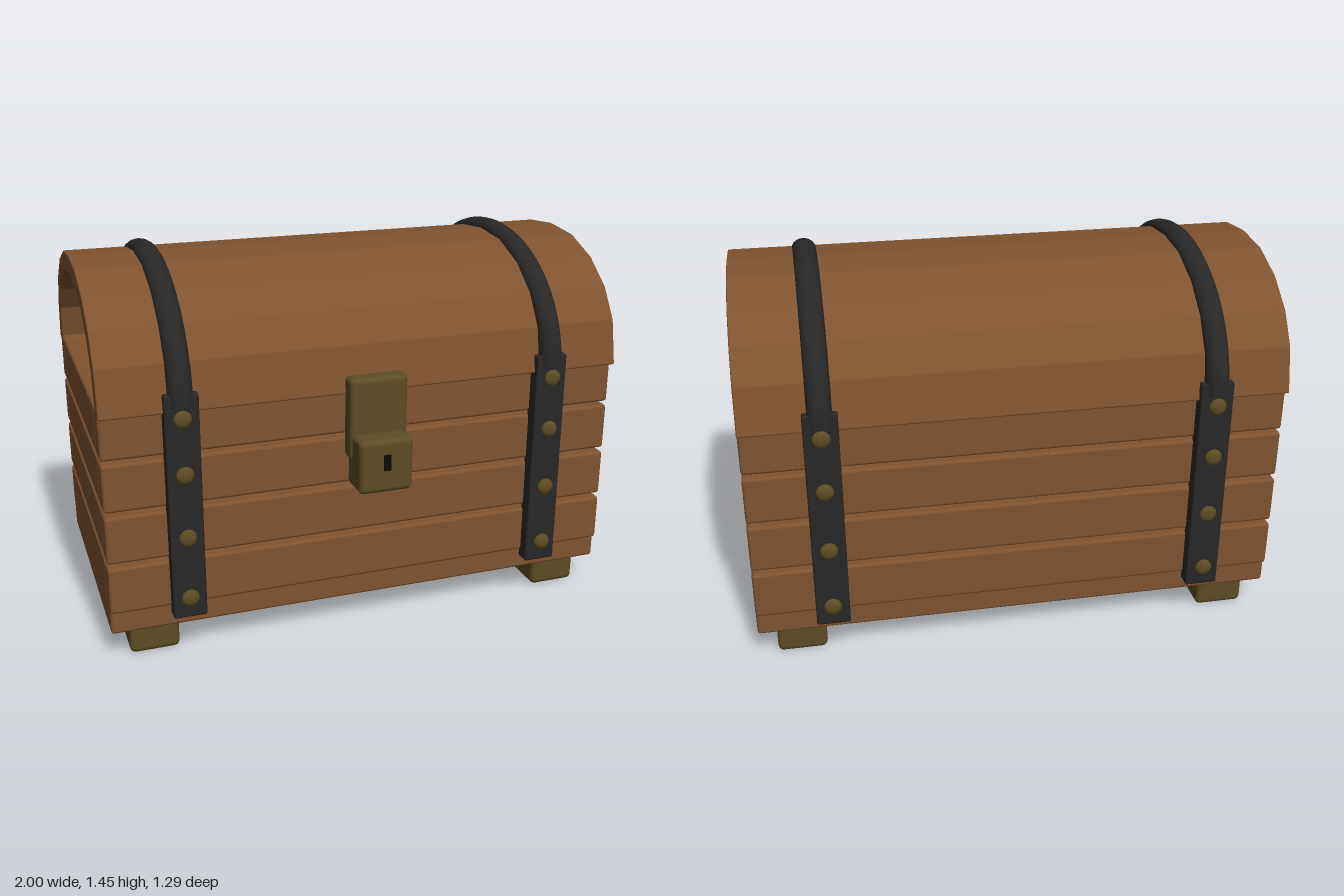
import * as THREE from 'three';
import { RoundedBoxGeometry } from 'three/addons/geometries/RoundedBoxGeometry.js';

const mat = (name, color, side = THREE.FrontSide) => {
  const m = new THREE.MeshStandardMaterial({ color, side });
  m.name = name;
  return m;
};

export function createModel() {
  const wood = mat('wood', 0x80532f);
  const iron = mat('dark iron', 0x282828);
  const brass = mat('aged brass', 0x5c4d24);
  const black = mat('keyhole black', 0x0c0c0c, THREE.DoubleSide);

  const root = new THREE.Group();
  root.name = 'chest';
  const CZ = -0.05; // depth centre of the box and lid

  const group = (name) => {
    const g = new THREE.Group();
    g.name = name;
    root.add(g);
    return g;
  };
  const add = (parent, name, geometry, material, x, y, z) => {
    const m = new THREE.Mesh(geometry, material);
    m.name = name;
    m.position.set(x, y, z);
    parent.add(m);
    return m;
  };
  const block = (parent, name, material, w, h, d, x, y, z, r = 0.012) =>
    add(parent, name, new RoundedBoxGeometry(w, h, d, 2, r), material, x, y, z);

  // Floor board and feet
  block(root, 'base', wood, 2, 0.115, 1.015, 0, 0.17, CZ);
  const feet = group('feet');
  for (const sx of [-1, 1]) for (const sz of [-1, 1])
    block(feet, 'foot', brass, 0.188, 0.135, 0.206, sx * 0.836, 0.0675, CZ + sz * 0.376, 0.022);

  // Four courses of planks on every wall, with open gaps between them
  const walls = group('walls');
  for (const y of [0.295, 0.495, 0.695, 0.892]) {
    for (const s of [-1, 1]) {
      block(walls, 'longPlank', wood, 2, 0.182, 0.092, 0, y, CZ + s * 0.479);
      block(walls, 'endPlank', wood, 0.092, 0.182, 0.87, s * 0.954, y, CZ);
    }
  }

  // Arched lid: ten slats following half of the outer curve, mirrored
  const lid = group('lid');
  const curve = [[0, 1.42], [0.172, 1.404], [0.327, 1.343], [0.446, 1.25], [0.521, 1.135], [0.555, 0.968]];
  const thick = 0.072;
  for (let i = 0; i < 5; i++) {
    const [z0, y0] = curve[i], [z1, y1] = curve[i + 1];
    const dz = z1 - z0, dy = y1 - y0, len = Math.hypot(dz, dy);
    const nz = -dy / len, ny = dz / len;
    for (const s of [-1, 1]) {
      const slat = block(lid, 'slat', wood, 2, thick, len + 0.008, 0,
        (y0 + y1) / 2 - ny * thick / 2, CZ + s * ((z0 + z1) / 2 - nz * thick / 2), 0.006);
      slat.rotation.x = s * Math.atan2(-dy, dz);
    }
  }

  // Iron straps: flat bars on front and back, rounded hoop over the lid
  const R = 0.55, tube = 0.045;
  for (const sx of [-1, 1]) {
    const strap = group(sx > 0 ? 'leftStrap' : 'rightStrap');
    const x = sx * 0.715;
    const hoop = add(strap, 'hoop', new THREE.TorusGeometry(R, tube, 14, 40, Math.PI), iron, x, 0.985, CZ);
    hoop.rotation.y = Math.PI / 2;
    hoop.scale.y = 0.785;
    for (const s of [-1, 1]) {
      const cap = add(strap, 'hoopEnd', new THREE.CircleGeometry(tube, 14), iron, x, 0.985, CZ + s * R);
      cap.rotation.x = Math.PI / 2;
      block(strap, 'bar', iron, 0.125, 0.862, 0.062, x, 0.602, CZ + s * 0.541, 0.008);
      for (const y of [0.255, 0.495, 0.737, 0.945]) {
        const rivet = add(strap, 'rivet', new THREE.SphereGeometry(0.033, 16, 10), brass, x, y, CZ + s * 0.58);
        rivet.scale.z = 0.45;
      }
    }
  }

  // Lock: hasp plate, lock body and keyhole
  const lock = group('lock');
  block(lock, 'hasp', brass, 0.222, 0.31, 0.075, 0, 0.875, 0.52, 0.018);
  block(lock, 'lockBody', brass, 0.206, 0.205, 0.14, 0, 0.718, 0.57, 0.02);
  add(lock, 'keyhole', new THREE.BoxGeometry(0.026, 0.06, 0.006), black, 0, 0.735, 0.644);

  return root;
}
